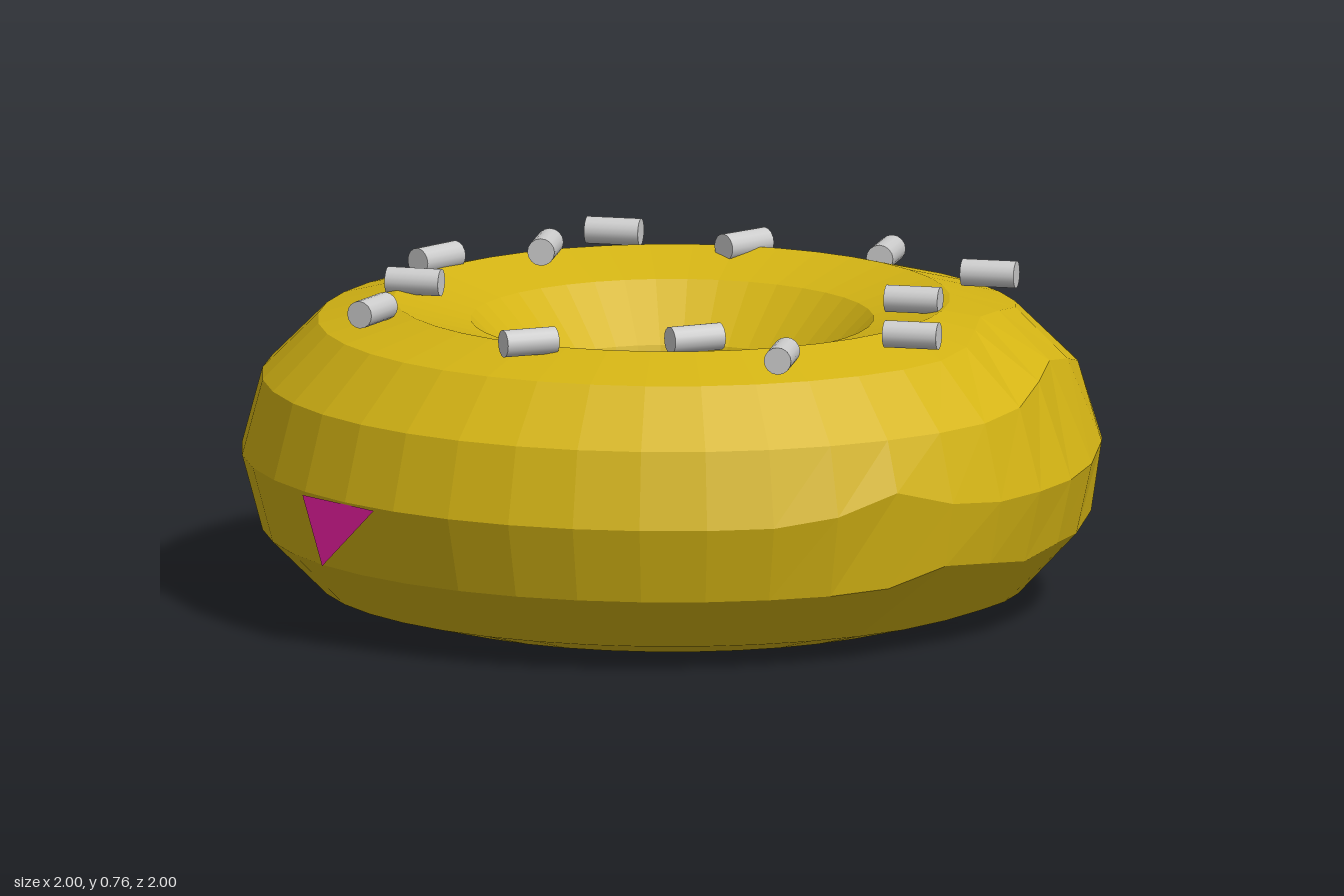
import * as THREE from 'three';

const R = 0.645, TUBE = 0.355, CENTRE_Y = 0.36;

// Local twists of the tube: ring angle, direction around the ring, width (degrees), turn (radians)
const dents = [
  [60, 0, 16, 0.27], [30, 0, 14, 0.25],
  [0, 45, 8, 0.17], [0, -9, 8, 0.09],
  [-30, 33, 8, 0.16], [-30, -9, 9, 0.14], [-30, 10, 7, 0.08],
  [-60, 18, 12, 0.06],
];

// Low-poly ring whose outer +x side is slightly dented
function ringGeometry() {
  const g = new THREE.TorusGeometry(R, TUBE, 12, 40).rotateX(-Math.PI / 2);
  const p = g.attributes.position;
  for (let i = 0; i < p.count; i++) {
    const x = p.getX(i), y = p.getY(i), z = p.getZ(i);
    const around = Math.atan2(z, x);
    let tube = Math.atan2(y, Math.hypot(x, z) - R);
    const ringDeg = Math.round(THREE.MathUtils.radToDeg(tube));
    for (const [ring, dir, width, turn] of dents) {
      if (ring !== ringDeg) continue;
      const d = (THREE.MathUtils.radToDeg(around) - dir) / width;
      tube += turn * Math.exp(-d * d);
    }
    const r = R + TUBE * Math.cos(tube);
    p.setXYZ(i, r * Math.cos(around), TUBE * Math.sin(tube), r * Math.sin(around));
  }
  g.computeVertexNormals();
  return g;
}

// Sprinkles: x, z, turn in degrees, height
const sprinkles = [
  [-0.295, -0.66, 0, 0.733], [0.02, -0.64, 55, 0.72], [0.36, -0.63, 90, 0.715],
  [-0.405, -0.435, 94, 0.733], [-0.62, -0.25, 60, 0.733], [0.67, -0.365, 0, 0.733],
  [0.57, 0.02 * -1, 0, 0.733], [-0.605, 0.035, -2, 0.733], [-0.62, 0.395, 75, 0.733],
  [0.665, 0.395, 0, 0.733], [0.185, 0.55, 38, 0.733], [-0.18, 0.68, 35, 0.733],
  [0.43, 0.71, 94, 0.733],
];

export function createModel() {
  const model = new THREE.Group();
  model.name = 'doughnut';

  const ring = new THREE.Mesh(
    ringGeometry(),
    new THREE.MeshStandardMaterial({ color: 0xd4b414, flatShading: true }),
  );
  ring.name = 'ring';
  ring.position.y = CENTRE_Y;
  model.add(ring);

  // Scattered sprinkles
  const grey = new THREE.MeshStandardMaterial({ color: 0xcccccc });
  const rod = new THREE.CylinderGeometry(0.032, 0.032, 0.128, 16).rotateZ(Math.PI / 2);
  const group = new THREE.Group();
  group.name = 'sprinkles';
  for (const [x, z, turn, y] of sprinkles) {
    const m = new THREE.Mesh(rod, grey);
    m.name = 'sprinkle';
    m.position.set(x, y, z);
    m.rotation.y = THREE.MathUtils.degToRad(turn);
    group.add(m);
  }
  model.add(group);

  // Flat triangular tag on the outer wall
  const tri = new THREE.BufferGeometry();
  tri.setAttribute('position', new THREE.Float32BufferAttribute(
    [-0.71, 0.355, 0.72, -0.65, 0.2, 0.775, -0.505, 0.355, 0.868], 3));
  tri.computeVertexNormals();
  const tag = new THREE.Mesh(tri, new THREE.MeshStandardMaterial({ color: 0xf020a5, side: THREE.DoubleSide }));
  tag.name = 'tag';
  model.add(tag);

  return model;
}
